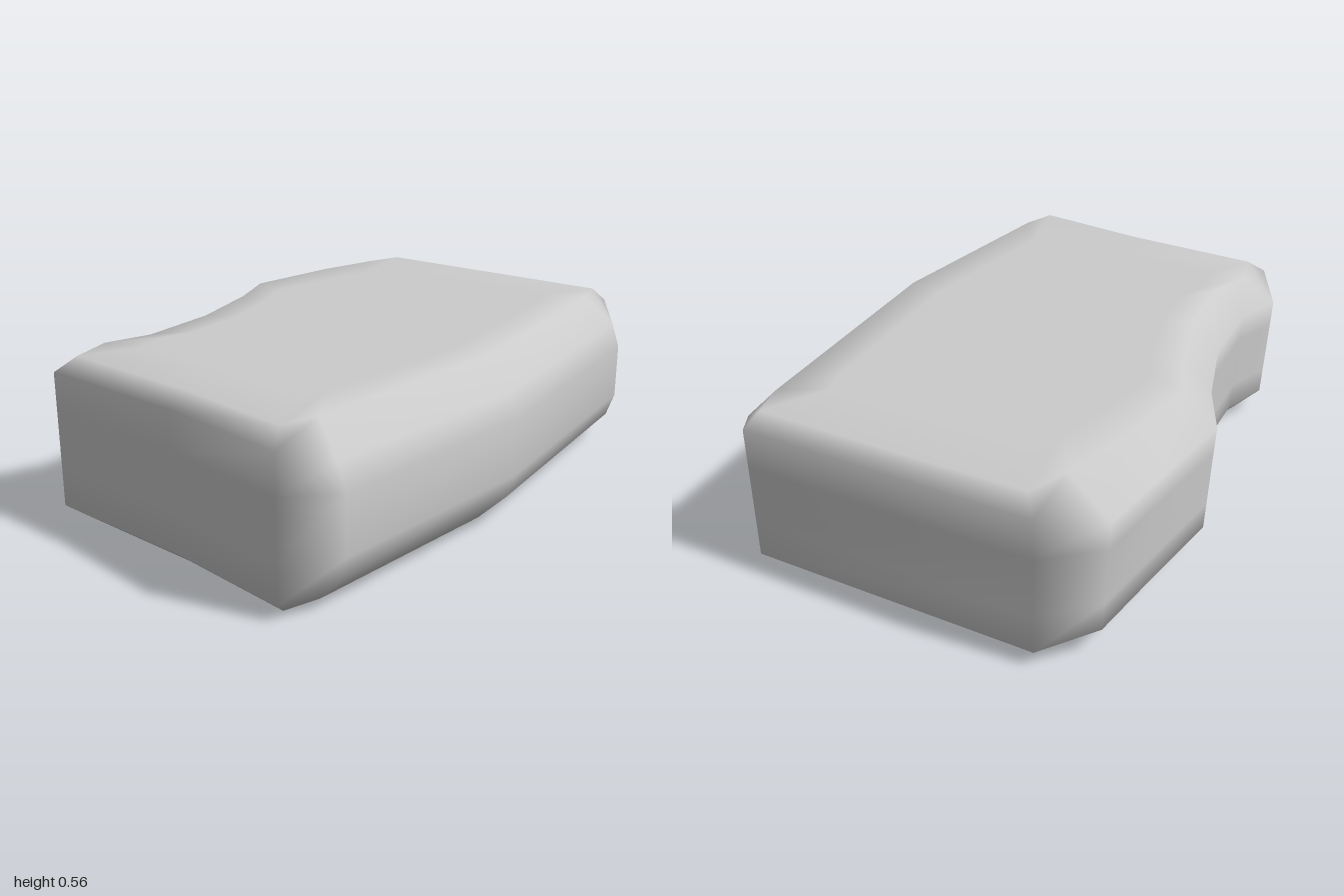
import * as THREE from 'three';

const HEIGHT = 0.565;

// Outline, counter-clockwise from above:
// [side x, side z, rim x, rim z, chamfer height, bulge of the side]
const OUTLINE = [
  [-1.00, 0.51, -0.94, 0.48, 0.05, 0],
  [-0.86, 0.645, -0.82, 0.52, 0.10, 0.03],
  [-0.07, 0.73, -0.07, 0.60, 0.10, 0.03],
  [0.86, 0.645, 0.82, 0.52, 0.10, 0.03],
  [1.00, 0.51, 0.95, 0.48, 0.05, 0],
  [1.00, -0.49, 0.95, -0.45, 0.05, 0],
  [0.86, -0.66, 0.81, -0.50, 0.09, 0],
  [0.60, -0.69, 0.58, -0.56, 0.09, 0],
  [0.25, -0.735, 0.23, -0.61, 0.09, 0],
  [0.04, -0.635, 0.04, -0.53, 0.09, 0],
  [-0.25, -0.55, -0.25, -0.45, 0.09, 0],
  [-0.55, -0.535, -0.54, -0.43, 0.09, 0],
  [-0.72, -0.595, -0.70, -0.48, 0.09, 0],
  [-0.91, -0.49, -0.85, -0.44, 0.05, 0],
  [-0.935, 0.05, -0.88, 0.05, 0.05, 0],
];

// Cross-section through one outline point, from the underside to the top
function section([x, z, rx, rz, h, bulge]) {
  const lean = z < -0.52 ? 0.02 : 0;
  const inner = 0.78;
  return [
    [rx * inner, 0, rz * inner],
    [rx, 0, rz],
    [x, h, z - bulge + lean],
    [x, 0.185, z + lean * 0.75],
    [x, 0.38, z + lean * 0.25],
    [x, HEIGHT - h, z - bulge],
    [rx, HEIGHT, rz],
    [rx * inner, HEIGHT, rz * inner],
  ];
}

function stoneGeometry() {
  const sections = OUTLINE.map(section);
  const n = sections.length, rows = sections[0].length;
  const positions = sections.flat(2);
  const index = [];

  // Skin between neighbouring sections
  for (let i = 0; i < n; i++) {
    const a = i * rows, b = ((i + 1) % n) * rows;
    for (let j = 0; j < rows - 1; j++) {
      index.push(a + j, b + j, b + j + 1, a + j, b + j + 1, a + j + 1);
    }
  }

  // Flat fans closing the underside and the top
  const bottom = n * rows, top = bottom + 1;
  positions.push(0, 0, 0, 0, HEIGHT, 0);
  for (let i = 0; i < n; i++) {
    const a = i * rows, b = ((i + 1) % n) * rows;
    index.push(bottom, b, a, top, a + rows - 1, b + rows - 1);
  }

  const geometry = new THREE.BufferGeometry();
  geometry.setAttribute('position', new THREE.Float32BufferAttribute(positions, 3));
  geometry.setIndex(index);
  geometry.computeVertexNormals();
  return geometry;
}

export function createModel() {
  const group = new THREE.Group();
  group.name = 'stoneBlock';
  const stone = new THREE.Mesh(stoneGeometry(), new THREE.MeshStandardMaterial({ color: 0xcccccc }));
  stone.name = 'stone';
  group.add(stone);
  return group;
}
